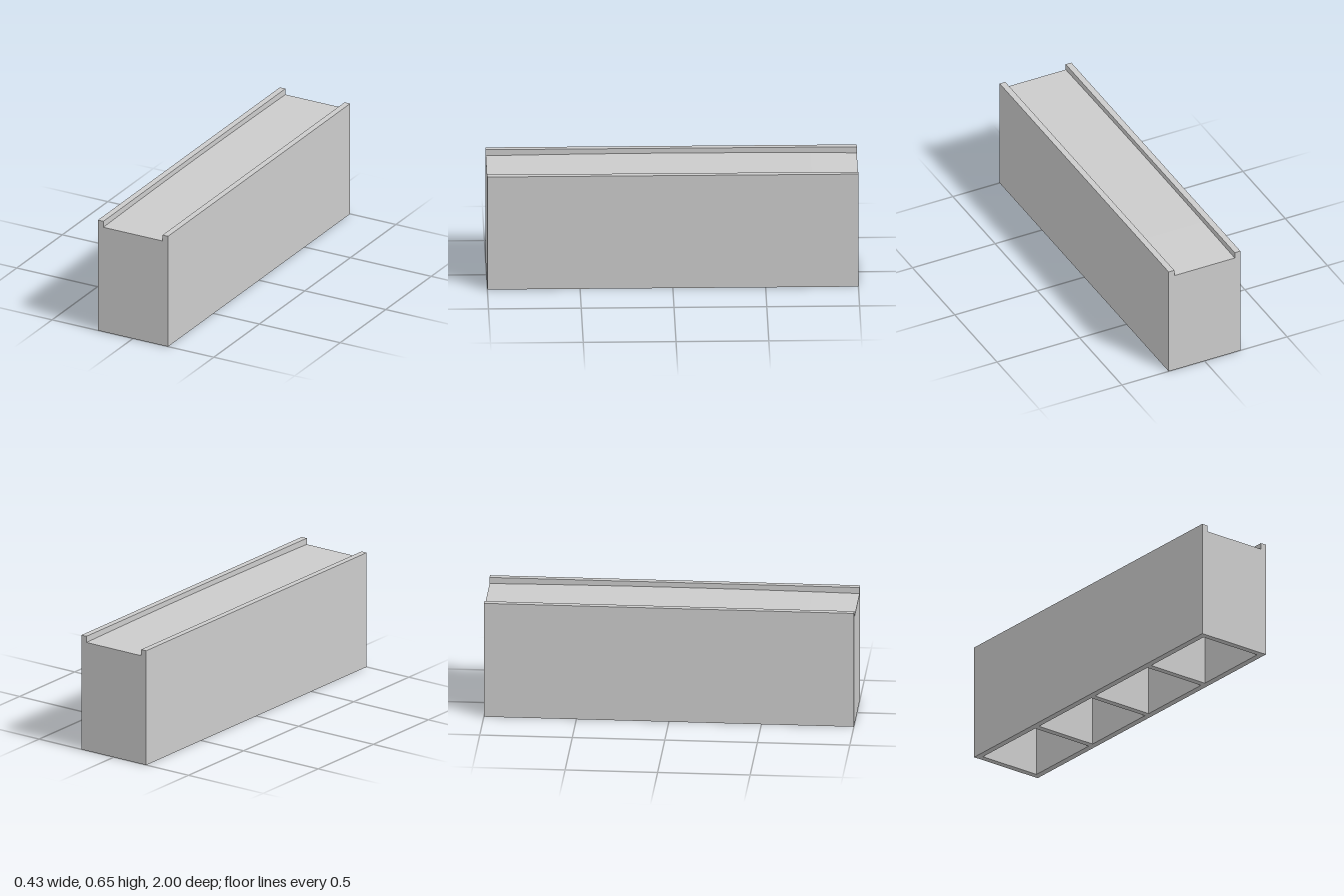
import * as THREE from 'three';

const W = 0.434, L = 2, H = 0.652;   // overall size
const T = 0.034;                     // wall and rail thickness
const CEILING = 0.59;                // top of the hollow cells
const DECK_END = 0.617, DECK_MID = 0.624;
const CELLS = 4;

function rect(target, x0, y0, x1, y1) {
  target.moveTo(x0, y0);
  target.lineTo(x1, y0);
  target.lineTo(x1, y1);
  target.lineTo(x0, y1);
  target.closePath();
  return target;
}

export function createModel() {
  const group = new THREE.Group();
  const material = new THREE.MeshStandardMaterial({ color: 0xcccccc, flatShading: true });
  const add = (name, geometry) => {
    const mesh = new THREE.Mesh(geometry, material);
    mesh.name = name;
    group.add(mesh);
    return mesh;
  };

  // Walls and dividers: plan outline with a row of cells open at the bottom
  const plan = rect(new THREE.Shape(), -W / 2, -L / 2, W / 2, L / 2);
  const cell = (L - (CELLS + 1) * T) / CELLS;
  for (let i = 0; i < CELLS; i++) {
    const z = -L / 2 + T + i * (cell + T);
    plan.holes.push(rect(new THREE.Path(), -W / 2 + T, z, W / 2 - T, z + cell));
  }
  const walls = new THREE.ExtrudeGeometry(plan, { depth: CEILING, bevelEnabled: false });
  add('cellWalls', walls.rotateX(-Math.PI / 2));

  // Deck between the rails, very slightly crowned along its length
  const deckWidth = W - 2 * T;
  const side = new THREE.Shape();
  side.moveTo(-L / 2, CEILING);
  side.lineTo(L / 2, CEILING);
  side.lineTo(L / 2, DECK_END);
  side.quadraticCurveTo(0, 2 * DECK_MID - DECK_END, -L / 2, DECK_END);
  side.closePath();
  const deck = new THREE.ExtrudeGeometry(side, { depth: deckWidth, bevelEnabled: false, curveSegments: 16 });
  add('deck', deck.rotateY(-Math.PI / 2).translate(deckWidth / 2, 0, 0));

  // Raised rails along both long edges
  for (const [name, s] of [['leftRail', 1], ['rightRail', -1]]) {
    const rail = add(name, new THREE.BoxGeometry(T, H - CEILING, L));
    rail.position.set(s * (W - T) / 2, (H + CEILING) / 2, 0);
  }

  return group;
}
